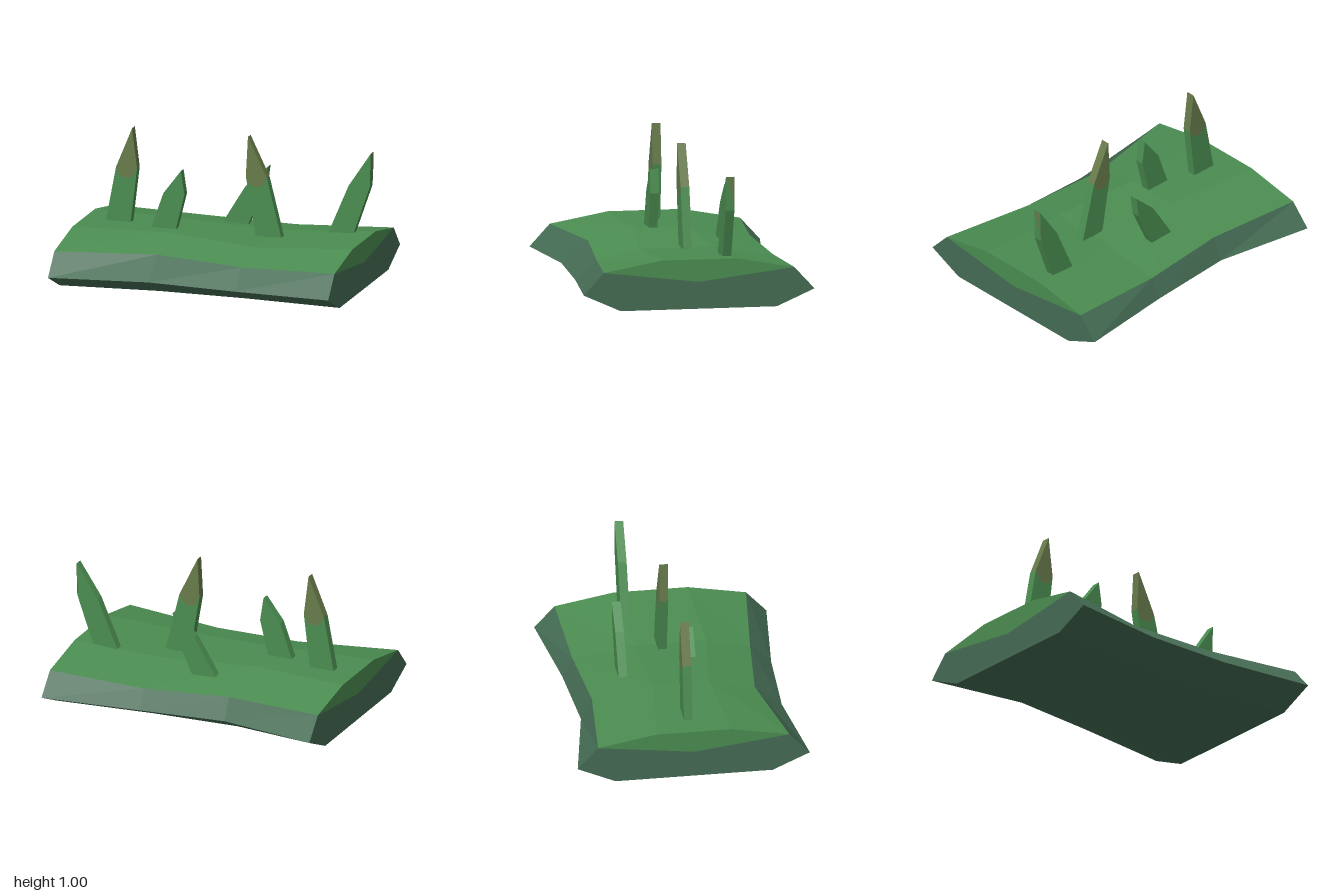
import * as THREE from 'three';

const material = (name, color) => {
  const m = new THREE.MeshStandardMaterial({ color, flatShading: true });
  m.name = name;
  return m;
};

// Flat-shaded mesh from a list of triangle corners
function triangleMesh(name, points, mat) {
  const geometry = new THREE.BufferGeometry().setFromPoints(points);
  geometry.computeVertexNormals();
  const mesh = new THREE.Mesh(geometry, mat);
  mesh.name = name;
  return mesh;
}

// Outline in x and y, extruded along z about a centre
function plate(name, outline, z, thickness, mat) {
  const shape = new THREE.Shape(outline.map(([x, y]) => new THREE.Vector2(x, y)));
  const geometry = new THREE.ExtrudeGeometry(shape, { depth: thickness, bevelEnabled: false });
  geometry.translate(0, 0, z - thickness / 2);
  const mesh = new THREE.Mesh(geometry, mat);
  mesh.name = name;
  return mesh;
}

// Ground slab lofted through four cross-sections
function createGround(grass, soil) {
  // x, then [z, y] from bottom front, over the top, to bottom back
  const sections = [
    [-1, [[0.54, 0], [0.795, 0.115], [0.655, 0.267], [0.255, 0.34], [-0.255, 0.34], [-0.66, 0.267], [-0.8, 0.115], [-0.54, 0]]],
    [-0.31, [[0.48, 0], [0.705, 0.115], [0.52, 0.265], [0.2, 0.34], [-0.18, 0.34], [-0.6, 0.265], [-0.675, 0.115], [-0.46, 0]]],
    [0.31, [[0.49, 0], [0.725, 0.105], [0.58, 0.24], [0.28, 0.305], [-0.22, 0.305], [-0.64, 0.24], [-0.71, 0.105], [-0.48, 0]]],
    [1, [[0.54, 0], [0.795, 0.115], [0.655, 0.267], [0.255, 0.34], [-0.255, 0.34], [-0.66, 0.267], [-0.8, 0.115], [-0.54, 0]]],
  ].map(([x, ring]) => ring.map(([z, y]) => new THREE.Vector3(x, y, z)));

  const grassPoints = [];
  const soilPoints = [];
  for (let i = 0; i < 8; i++) {
    const j = (i + 1) % 8;
    const target = i >= 2 && i <= 4 ? grassPoints : soilPoints;
    for (let s = 0; s < 3; s++) {
      const a = sections[s], b = sections[s + 1];
      target.push(a[i], b[i], b[j], a[i], b[j], a[j]);
    }
    // End caps: the grass hangs down to a point in the middle
    target.push(new THREE.Vector3(1, 0.185, 0), sections[3][j], sections[3][i]);
    target.push(new THREE.Vector3(-1, 0.185, 0), sections[0][i], sections[0][j]);
  }
  const ground = new THREE.Group();
  ground.name = 'ground';
  ground.add(triangleMesh('grassTop', grassPoints, grass), triangleMesh('soilBase', soilPoints, soil));
  return ground;
}

export function createModel() {
  const grass = material('grass green', 0x4b8d51);
  const soil = material('mossy soil', 0x456c54);
  const dry = material('dry olive', 0x677b4b);

  const model = new THREE.Group();
  model.name = 'grassTile';
  model.add(createGround(grass, soil));

  // Blades: base left, base right, shoulder right, tip, shoulder left
  const blades = [
    { z: -0.015, dryTip: true, pts: [[-0.845, 0.3], [-0.665, 0.3], [-0.615, 0.72], [-0.65, 1], [-0.765, 0.72]] },
    { z: 0.07, pts: [[-0.5, 0.3], [-0.32, 0.3], [-0.25, 0.585], [-0.275, 0.75], [-0.4, 0.585]] },
    { z: 0.035 - 0.07, dryTip: true, pts: [[0.23, 0.28], [0.415, 0.28], [0.305, 0.72], [0.17, 1], [0.155, 0.72]] },
    { z: -0.355, pts: [[-0.125, 0.28], [0.06, 0.28], [0.19, 0.565], [0.21, 0.715], [0.05, 0.565]] },
    { z: -0.22, pts: [[0.67, 0.29], [0.85, 0.29], [0.98, 0.665], [0.987, 0.9], [0.83, 0.665]] },
  ];
  const thickness = 0.06;
  blades.forEach(({ z, dryTip, pts }, n) => {
    const blade = new THREE.Group();
    blade.name = `grassBlade${n + 1}`;
    const [baseL, baseR, right, tip, left] = pts;
    if (dryTip) {
      const dip = [(left[0] + right[0]) / 2, 0.65];
      const dipL = [left[0] + 0.03, 0.66];
      // Keep the dip soft and inside the blade's sides
      const dipR = [right[0] - 0.03, 0.66];
      blade.add(plate('bladeStem', [baseL, baseR, right, dipR, dip, dipL, left], z, thickness, grass));
      blade.add(plate('bladeTip', [left, dipL, dip, dipR, right, tip], z, thickness, dry));
    } else {
      blade.add(plate('bladeStem', pts, z, thickness, grass));
    }
    model.add(blade);
  });

  // Dry streak on the outer edge of the last blade
  model.add(triangleMesh('dryStreak', [
    new THREE.Vector3(0.983, 0.68, -0.25),
    new THREE.Vector3(0.989, 0.9, -0.25),
    new THREE.Vector3(0.989, 0.9, -0.2),
  ], dry));
  model.getObjectByName('dryStreak').material.side = THREE.DoubleSide;
  return model;
}
